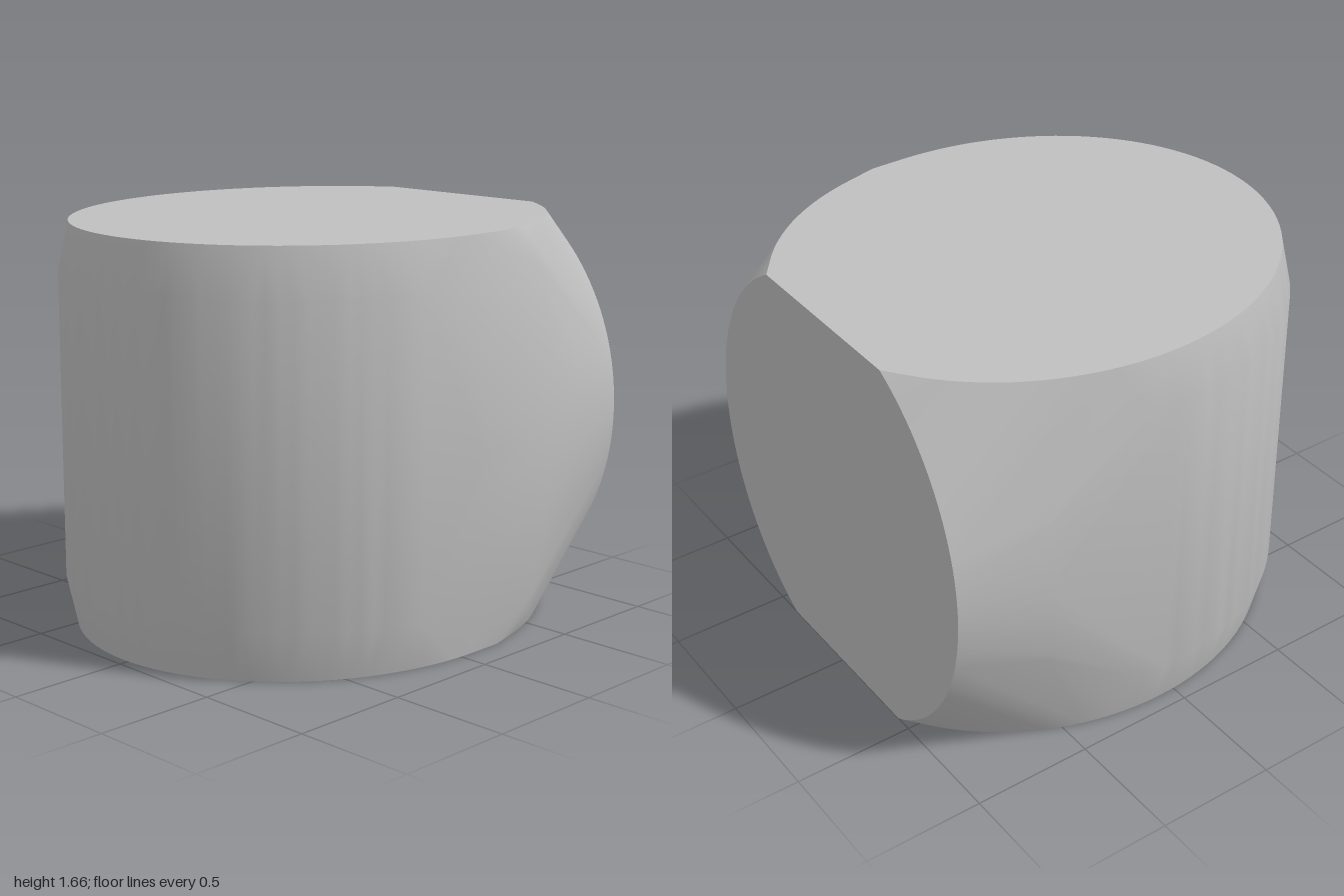
import * as THREE from 'three';
import { ConvexGeometry } from 'three/addons/geometries/ConvexGeometry.js';
import { toCreasedNormals } from 'three/addons/utils/BufferGeometryUtils.js';

const CX = -0.025, CZ = -0.07, HEIGHT = 1.66, MID = HEIGHT / 2;

export function createModel() {
  const group = new THREE.Group();
  group.name = 'roundedBlock';
  const grey = new THREE.MeshStandardMaterial({ color: 0xbfbfbf });
  grey.name = 'grey';

  const points = [];
  const add = (x, y, z) => points.push(new THREE.Vector3(x, y, z));

  // Flat top and bottom: ellipses cut off by the back plane
  const capEnd = Math.acos(-0.93 / 1.03);
  for (let i = 0; i <= 96; i++) {
    const a = -capEnd + (2 * capEnd * i) / 96;
    for (const y of [0, HEIGHT]) {
      add(CX + 0.905 * Math.sin(a), y, i === 0 || i === 96 ? -1 : CZ + 1.03 * Math.cos(a));
    }
  }

  // Upright wall round the front, between the two bevels
  for (let i = 0; i <= 60; i++) {
    const a = -1.69 + (2.965 * i) / 60;
    for (const y of [0.2, 1.46]) add(CX + 0.955 * Math.sin(a), y, CZ + 1.07 * Math.cos(a));
  }

  // Flat back: an upright ellipse cut off by the top and bottom
  const backEnd = Math.asin(MID / 0.939);
  for (let i = 0; i <= 48; i++) {
    const a = -backEnd + (2 * backEnd * i) / 48;
    const y = i === 0 ? 0 : i === 48 ? HEIGHT : MID + 0.939 * Math.sin(a);
    for (const s of [-1, 1]) add(CX + s * 0.865 * Math.cos(a), y, -1);
  }

  // Bulging flanks: arcs of [x at mid height, z, drop at the ends, reach]
  const arcs = [
    [0.958, -0.02, 0.08, 1], [0.975, -0.22, 0.095, 1], [0.958, -0.42, 0.11, 0.9],
    [0.926, -0.62, 0.17, 0.85], [-0.974, -0.64, 0.17, 0.4],
  ];
  for (const [x, z, drop, reach] of arcs) {
    for (let i = 0; i <= 20; i++) {
      const t = reach * (i / 10 - 1);
      add(x - Math.sign(x) * drop * t * t, MID + MID * t, z);
    }
  }

  // One convex skin, smooth on the sides and sharp round the flat faces
  const geometry = toCreasedNormals(new ConvexGeometry(points), 0.6);
  const body = new THREE.Mesh(geometry, grey);
  body.name = 'body';
  group.add(body);
  return group;
}
